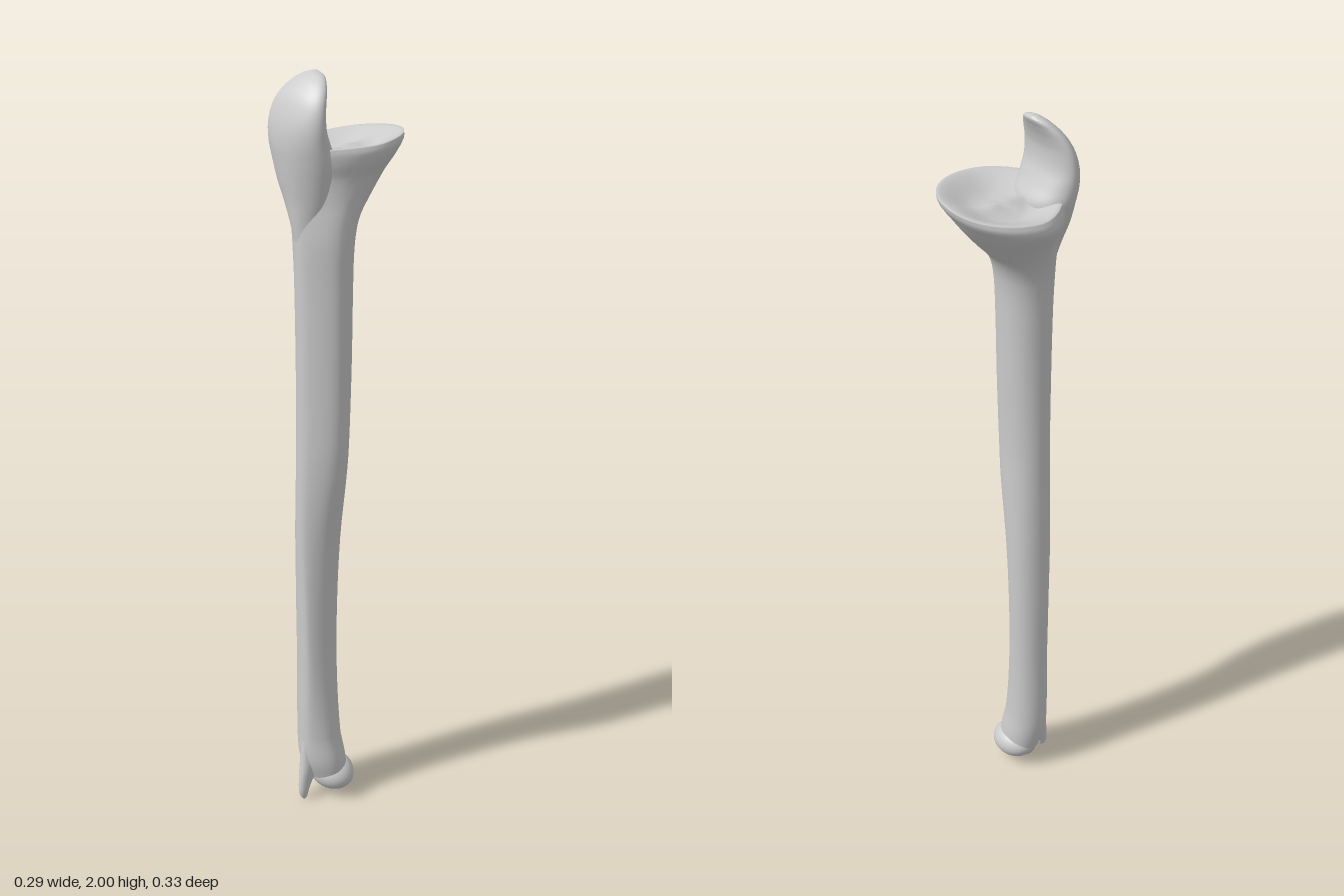
import * as THREE from 'three';

const SIDES = 40;
const material = new THREE.MeshStandardMaterial({ color: 0xcccccc });

// One cross-section point. Row: y, x0, x1, z0, z1, front taper, front crest shift.
function sectionPoint([y, x0, x1, z0, z1, taper, shift], t) {
  const s = Math.sin(t), c = Math.cos(t), f = Math.max(0, s) ** 2;
  return [
    (x0 + x1) / 2 + (x1 - x0) / 2 * Math.sign(c) * Math.abs(c) ** 0.9 * (1 - taper * f) + shift * f,
    y,
    (z0 + z1) / 2 + (z1 - z0) / 2 * s,
  ];
}

// Smooth in-between rows
function refine(rows, steps) {
  const out = [];
  for (let i = 0; i < rows.length - 1; i++) {
    const a = rows[Math.max(0, i - 1)], b = rows[i], c = rows[i + 1], d = rows[Math.min(rows.length - 1, i + 2)];
    const h = c[0] - b[0];
    for (let j = 0; j < steps; j++) {
      const u = j / steps;
      out.push(b.map((v, k) => {
        if (k === 0) return v + h * u;
        const m0 = (c[k] - a[k]) / (c[0] - a[0]) * h, m1 = (d[k] - v) / (d[0] - b[0]) * h;
        const u2 = u * u, u3 = u2 * u;
        return (2 * u3 - 3 * u2 + 1) * v + (u3 - 2 * u2 + u) * m0 + (3 * u2 - 2 * u3) * c[k] + (u3 - u2) * m1;
      }));
    }
  }
  out.push(rows[rows.length - 1]);
  return out;
}

// Skin a stack of rings and close both ends
function skin(name, rings) {
  const pos = rings.flat(2), idx = [];
  for (let i = 0; i < rings.length - 1; i++) {
    for (let j = 0; j < SIDES; j++) {
      const k = (j + 1) % SIDES, a = i * SIDES;
      idx.push(a + j, a + SIDES + j, a + k, a + k, a + SIDES + j, a + SIDES + k);
    }
  }
  for (const [i, top] of [[0, false], [rings.length - 1, true]]) {
    const centre = [0, 1, 2].map(n => rings[i].reduce((s, p) => s + p[n], 0) / SIDES);
    const ci = pos.length / 3;
    pos.push(...centre);
    for (let j = 0; j < SIDES; j++) {
      const a = i * SIDES + j, b = i * SIDES + (j + 1) % SIDES;
      idx.push(ci, top ? b : a, top ? a : b);
    }
  }
  const geo = new THREE.BufferGeometry();
  geo.setAttribute('position', new THREE.Float32BufferAttribute(pos, 3));
  geo.setIndex(idx);
  geo.computeVertexNormals();
  const mesh = new THREE.Mesh(geo, material);
  mesh.name = name;
  return mesh;
}

const ringsOf = rows => refine(rows, 5).map(row =>
  Array.from({ length: SIDES }, (_, j) => sectionPoint(row, j / SIDES * Math.PI * 2)));

// Shaft that flares into the joint socket
function createShaft() {
  const rings = ringsOf([
    [0.05, -0.05, 0.068, 0.0, 0.095, 0.1, 0],
    [0.12, -0.068, 0.068, 0.002, 0.122, 0.2, 0],
    [0.2, -0.075, 0.055, 0.01, 0.126, 0.3, 0.01],
    [0.4, -0.073, 0.043, 0.014, 0.127, 0.35, 0.02],
    [0.6, -0.073, 0.043, 0.012, 0.13, 0.4, 0.02],
    [0.8, -0.068, 0.055, 0.01, 0.135, 0.4, 0.01],
    [1.0, -0.06, 0.085, 0.012, 0.138, 0.45, 0],
    [1.1, -0.058, 0.095, 0.014, 0.138, 0.45, 0],
    [1.3, -0.056, 0.1, 0.01, 0.141, 0.45, 0],
    [1.5, -0.058, 0.1, 0.005, 0.143, 0.45, 0],
    [1.6, -0.064, 0.1, -0.003, 0.145, 0.45, 0],
    [1.66, -0.078, 0.1, -0.025, 0.145, 0.5, 0],
    [1.71, -0.1, 0.104, -0.07, 0.145, 0.5, 0],
    [1.76, -0.132, 0.116, -0.115, 0.145, 0.45, 0],
    [1.79, -0.145, 0.136, -0.142, 0.145, 0.42, 0],
    [1.81, -0.145, 0.144, -0.16, 0.145, 0.4, 0],
    [1.825, -0.138, 0.14, -0.165, 0.145, 0.4, 0],
  ]);
  // Tilted socket rim
  for (const ring of rings) for (const p of ring) {
    const w = THREE.MathUtils.smoothstep(p[1], 1.74, 1.825);
    p[1] += w * (0.11 * p[0] + 0.09 * Math.max(0, -p[2]));
  }
  // Hollow socket floor with a low central ridge
  const rim = rings[rings.length - 1];
  for (const s of [0.94, 0.85, 0.72, 0.58, 0.44, 0.3, 0.15]) {
    const dip = 0.032 * THREE.MathUtils.smoothstep(1 - s, 0, 0.6);
    rings.push(rim.map(([x, y, z]) => {
      const px = x * s, pz = -0.01 + (z + 0.01) * s;
      const ridge = 0.02 * Math.exp(-((px / 0.025) ** 2)) * (1 - s);
      return [px, 1.828 + (y - 1.828) * s - dip + ridge, pz];
    }));
  }
  return skin('shaftAndSocket', rings);
}

// Hook standing in front of the socket, running down into a crest
const createHook = () => skin('elbowHook', ringsOf([
  [1.56, 0.0, 0.04, 0.09, 0.138, 0, 0],
  [1.65, -0.038, 0.052, 0.06, 0.149, 0.2, 0],
  [1.7, -0.062, 0.064, 0.05, 0.153, 0.2, 0],
  [1.75, -0.084, 0.074, 0.045, 0.159, 0.15, 0],
  [1.8, -0.097, 0.082, 0.045, 0.164, 0.1, 0],
  [1.84, -0.1, 0.081, 0.066, 0.166, 0.05, 0],
  [1.88, -0.098, 0.08, 0.084, 0.162, 0.05, 0],
  [1.92, -0.09, 0.077, 0.088, 0.15, 0, 0],
  [1.95, -0.076, 0.07, 0.082, 0.136, 0, 0],
  [1.975, -0.056, 0.055, 0.072, 0.116, 0, 0],
  [1.992, -0.034, 0.034, 0.064, 0.096, 0, 0],
  [2.0, -0.01, 0.01, 0.067, 0.082, 0, 0],
]));

// Small pointed spike at the lower end
const createSpike = () => skin('lowerSpike', ringsOf([
  [0.0, -0.003, 0.002, 0.127, 0.132, 0, 0],
  [0.008, -0.01, 0.006, 0.12, 0.139, 0, 0],
  [0.03, -0.015, 0.009, 0.112, 0.144, 0, 0],
  [0.07, -0.021, 0.012, 0.09, 0.141, 0, 0],
  [0.12, -0.028, 0.016, 0.07, 0.133, 0, 0],
  [0.22, -0.02, 0.01, 0.07, 0.122, 0, 0],
]));

export function createModel() {
  const model = new THREE.Group();
  model.name = 'forearmBone';
  model.add(createShaft(), createHook(), createSpike());

  // Rounded lower joint head
  const head = new THREE.Mesh(new THREE.SphereGeometry(1, 40, 28), material);
  head.name = 'lowerHead';
  head.scale.set(0.071, 0.05, 0.058);
  head.position.set(0.015, 0.067, 0.042);
  head.rotation.z = -0.18;
  model.add(head);
  return model;
}
